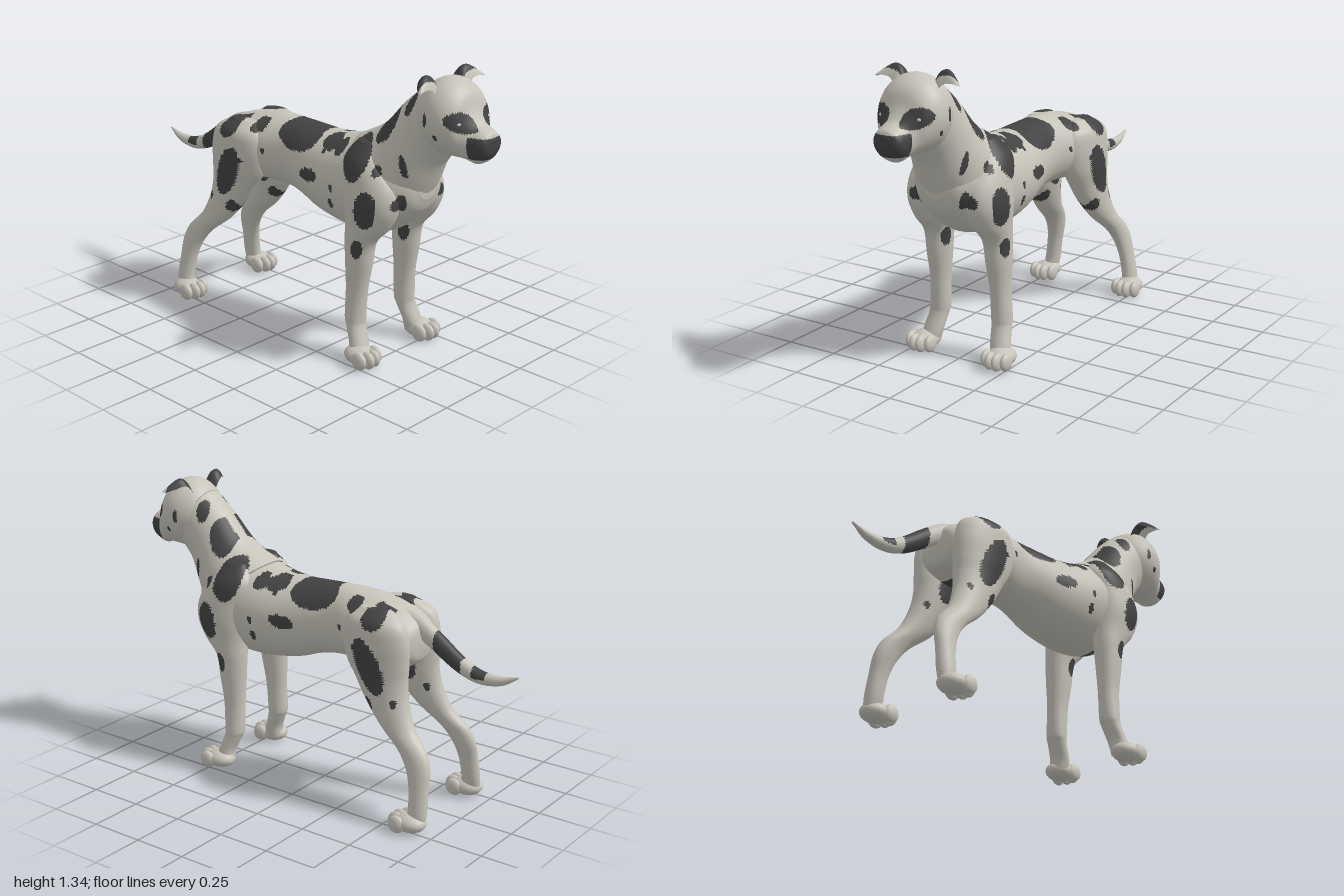
import * as THREE from 'three';
import { ParametricGeometry } from 'three/addons/geometries/ParametricGeometry.js';

const coat = new THREE.MeshStandardMaterial({ color: 0xc6c3b9, side: THREE.DoubleSide });
coat.name = 'paleCoat';
const spot = new THREE.MeshStandardMaterial({ color: 0x424242, side: THREE.DoubleSide });
spot.name = 'darkSpot';

// Coat spots, mirrored on both flanks: x, y, radius x, radius y, tilt in degrees, least |z|
const SPOTS = [
  [-0.375, 0.69, 0.062, 0.132, -25, 0], [-0.38, 0.9, 0.056, 0.046, 20, 0.05],
  [-0.24, 0.925, 0.036, 0.032, 0, 0.06], [-0.01, 0.925, 0.12, 0.065, 0, 0],
  [0.27, 0.935, 0.032, 0.032, 0, 0.06], [0.195, 0.935, 0.055, 0.028, 0, 0.01],
  [0.415, 0.93, 0.07, 0.095, 0, 0.06], [0.52, 1.09, 0.048, 0.088, -25, 0.03],
  [0.635, 1.195, 0.026, 0.048, -15, 0.03], [0.12, 0.785, 0.062, 0.03, 8, 0],
  [0.27, 0.695, 0.015, 0.027, 0, 0], [0.505, 0.73, 0.053, 0.086, -10, 0],
  [0.445, 0.535, 0.025, 0.046, -10, 0], [0.62, 0.77, 0.015, 0.04, -8, 0],
  [0.635, 0.935, 0.014, 0.05, 10, 0.05], [0.53, 0.9, 0.018, 0.025, 0, 0],
  [-0.37, 0.515, 0.024, 0.034, -25, 0], [-0.5, 0.54, 0.014, 0.02, 0, 0],
  [-0.19, 0.82, 0.01, 0.014, 0, 0], [-0.29, 0.76, 0.01, 0.012, 0, 0],
  [0.18, 0.9, 0.013, 0.013, 0, 0], [0.28, 0.77, 0.012, 0.014, 0, 0],
  [0.755, 1.165, 0.011, 0.03, 0, 0.05], [0.805, 1.1, 0.01, 0.012, 0, 0.05],
];

function inEllipse(dx, dy, rx, ry, tilt) {
  const t = THREE.MathUtils.degToRad(tilt), c = Math.cos(t), s = Math.sin(t);
  return ((dx * c + dy * s) / rx) ** 2 + ((dy * c - dx * s) / ry) ** 2 < 1;
}
const bodySpots = (x, y, z) => SPOTS.some(([sx, sy, rx, ry, tilt, zMin]) =>
  Math.abs(z) >= zMin && inEllipse(x - sx, y - sy, rx, ry, tilt));
const headSpots = (x, y, z) => {
  const muzzle = x > 0.92 && y > 1.018 && y < 1.112;
  const eyePatch = x > 0.8 && inEllipse(Math.abs(z) - 0.085, y - 1.168, 0.056, 0.042, 12);
  return muzzle || eyePatch || bodySpots(x, y, z);
};
const tailSpots = (x, y) => (x > -0.735 && x < -0.6 && y < 0.86) || (x > -0.85 && x < -0.785 && y > 0.68);

// Sorts faces into pale and dark groups by the place of their centres
function paint(geo, isDark) {
  const p = geo.attributes.position, idx = geo.index.array, sets = [[], []];
  for (let i = 0; i < idx.length; i += 3) {
    const f = [idx[i], idx[i + 1], idx[i + 2]];
    const mid = (get) => (get(f[0]) + get(f[1]) + get(f[2])) / 3;
    const dark = isDark(mid((k) => p.getX(k)), mid((k) => p.getY(k)), mid((k) => p.getZ(k)));
    sets[dark ? 1 : 0].push(...f);
  }
  geo.setIndex([...sets[0], ...sets[1]]);
  geo.clearGroups();
  geo.addGroup(0, sets[0].length, 0);
  geo.addGroup(sets[0].length, sets[1].length, 1);
  return geo;
}

// Smooth skin over oval rings: centre x, y, z, half depth, half width, tilt of the depth axis
function loft(name, rings, steps, sides, isDark) {
  const centre = new THREE.CatmullRomCurve3(rings.map((r) => new THREE.Vector3(r[0], r[1], r[2])), false, 'catmullrom');
  const size = new THREE.CatmullRomCurve3(rings.map((r) => new THREE.Vector3(r[3], r[4], r[5])), false, 'catmullrom');
  const pos = [], idx = [];
  for (let i = 0; i <= steps; i++) {
    const c = centre.getPoint(i / steps), s = size.getPoint(i / steps);
    const t = THREE.MathUtils.degToRad(s.z);
    for (let j = 0; j < sides; j++) {
      const a = (j / sides) * Math.PI * 2, d = Math.cos(a) * s.x;
      pos.push(c.x + Math.cos(t) * d, c.y + Math.sin(t) * d, c.z + Math.sin(a) * s.y);
      if (i === steps) continue;
      const k = i * sides + j, n = i * sides + ((j + 1) % sides);
      idx.push(k, n, n + sides, k, n + sides, k + sides);
    }
  }
  // End caps
  const first = pos.length / 3, base = steps * sides;
  pos.push(...rings[0].slice(0, 3), ...rings[rings.length - 1].slice(0, 3));
  for (let j = 0; j < sides; j++) {
    const n = (j + 1) % sides;
    idx.push(first, n, j, first + 1, base + j, base + n);
  }
  const geo = new THREE.BufferGeometry();
  geo.setAttribute('position', new THREE.Float32BufferAttribute(pos, 3));
  geo.setIndex(idx);
  geo.computeVertexNormals();
  const mesh = new THREE.Mesh(paint(geo, isDark), [coat, spot]);
  mesh.name = name;
  return mesh;
}

// Rings from outlines: along the body (x, bottom, top, half width) or down a leg (y, back, front, inner, outer)
const along = (rows) => rows.map(([x, y0, y1, w]) => [x, (y0 + y1) / 2, 0, (y1 - y0) / 2, w, 90]);
const down = (rows, side) => rows.map(([y, x0, x1, z0, z1]) =>
  [(x0 + x1) / 2, y, side * (z0 + z1) / 2, (x1 - x0) / 2, (z1 - z0) / 2, 0]);

const TORSO = [
  [-0.54, 0.75, 0.82, 0.03], [-0.52, 0.69, 0.87, 0.11], [-0.45, 0.65, 0.915, 0.16],
  [-0.38, 0.64, 0.94, 0.175], [-0.3, 0.64, 0.955, 0.175], [-0.2, 0.645, 0.965, 0.155],
  [-0.1, 0.64, 0.965, 0.135], [0, 0.62, 0.96, 0.15], [0.1, 0.585, 0.955, 0.17],
  [0.2, 0.565, 0.962, 0.188], [0.3, 0.555, 0.985, 0.2], [0.4, 0.56, 1.01, 0.205],
  [0.5, 0.59, 1.0, 0.2], [0.58, 0.65, 0.98, 0.165], [0.64, 0.71, 0.92, 0.11], [0.665, 0.77, 0.86, 0.05],
];
const NECK = [
  [0.465, 0.855, 0, 0.21, 0.195, 141], [0.565, 0.95, 0, 0.168, 0.158, 134],
  [0.645, 1.06, 0, 0.155, 0.132, 123], [0.725, 1.14, 0, 0.15, 0.128, 115],
];
const HEAD = [
  [0.645, 1.14, 1.21, 0.04], [0.66, 1.08, 1.26, 0.09], [0.7, 1.03, 1.3, 0.128], [0.76, 1.0, 1.325, 0.151],
  [0.82, 1.0, 1.315, 0.15], [0.87, 1.0, 1.275, 0.126], [0.9, 0.995, 1.205, 0.096], [0.93, 0.988, 1.162, 0.077],
  [0.965, 1.005, 1.142, 0.07], [0.988, 1.03, 1.128, 0.055], [0.998, 1.06, 1.105, 0.025],
];
const TAIL = [
  [-0.4, 0.89, 0, 0.04, 0.04, -90], [-0.5, 0.856, 0, 0.044, 0.036, -70], [-0.6, 0.795, 0, 0.042, 0.036, -58],
  [-0.72, 0.718, 0, 0.036, 0.032, -60], [-0.82, 0.683, 0, 0.03, 0.028, -80],
  [-0.92, 0.688, 0, 0.02, 0.02, -100], [-1, 0.72, 0, 0.004, 0.005, -110],
];
const FRONT_LEG = [
  [1.0, 0.37, 0.47, 0.08, 0.14], [0.92, 0.32, 0.53, 0.06, 0.205], [0.82, 0.33, 0.6, 0.05, 0.23],
  [0.73, 0.34, 0.61, 0.05, 0.238], [0.64, 0.345, 0.57, 0.07, 0.225], [0.56, 0.345, 0.5, 0.09, 0.215],
  [0.45, 0.35, 0.48, 0.1, 0.21], [0.33, 0.355, 0.46, 0.112, 0.203], [0.2, 0.357, 0.452, 0.115, 0.21],
  [0.16, 0.37, 0.455, 0.12, 0.212], [0.09, 0.4, 0.48, 0.13, 0.225], [0.03, 0.4, 0.5, 0.145, 0.235],
];
const HIND_LEG = [
  [0.93, -0.42, -0.28, 0.06, 0.14], [0.88, -0.5, -0.22, 0.05, 0.195], [0.8, -0.53, -0.2, 0.04, 0.207],
  [0.7, -0.532, -0.22, 0.04, 0.205], [0.62, -0.53, -0.27, 0.05, 0.2], [0.53, -0.545, -0.33, 0.07, 0.2],
  [0.43, -0.59, -0.42, 0.1, 0.205], [0.35, -0.665, -0.52, 0.13, 0.215], [0.28, -0.695, -0.575, 0.15, 0.225],
  [0.2, -0.7, -0.605, 0.17, 0.238], [0.1, -0.705, -0.615, 0.185, 0.255], [0.03, -0.7, -0.6, 0.2, 0.26],
];

function blob(name, x, y, z, rx, ry, rz, material) {
  const mesh = new THREE.Mesh(new THREE.SphereGeometry(1, 20, 14), material);
  mesh.position.set(x, y, z);
  mesh.scale.set(rx, ry, rz);
  mesh.name = name;
  return mesh;
}

// Paw with four rounded toes
function paw(name, x, z, side) {
  const group = new THREE.Group();
  group.name = name;
  group.add(blob('pawPad', x, 0.045, z * side, 0.073, 0.043, 0.062, coat));
  [-0.05, -0.017, 0.017, 0.05].forEach((dz, i) => {
    const reach = i === 1 || i === 2 ? 0.062 : 0.042;
    group.add(blob('toe', x + reach, 0.042, (z + dz) * side, 0.04, 0.04, 0.021, coat));
  });
  return group;
}

// Folded ear: rises from the skull, bends over to a tip, with a pale front fold
function ear(name, side) {
  const spine = new THREE.CatmullRomCurve3([
    [0.745, 1.29, 0.07], [0.74, 1.335, 0.1], [0.74, 1.344, 0.13], [0.755, 1.322, 0.17], [0.775, 1.292, 0.207],
  ].map((p) => new THREE.Vector3(...p)));
  const geo = new ParametricGeometry((u, v, out) => {
    const p = v * 2 - 1, taper = 1 - 0.85 * u * u;
    spine.getPoint(u, out);
    out.x += p * 0.045 * taper;
    out.y -= p > 0 ? 0.1 * p * p * taper * (1 - u) ** 0.5 : 0.04 * p * p * taper;
    out.z *= side;
  }, 24, 24);
  const mesh = new THREE.Mesh(paint(geo, (x, y, z) => x < 0.762 || Math.abs(z) < 0.085), [coat, spot]);
  mesh.name = name;
  return mesh;
}

export function createModel() {
  const dog = new THREE.Group();
  dog.name = 'spottedDog';
  dog.add(
    loft('torso', along(TORSO), 150, 80, bodySpots),
    loft('neck', NECK, 70, 72, bodySpots),
    loft('head', along(HEAD), 90, 80, headSpots),
    loft('tail', TAIL, 70, 28, tailSpots),
    blob('nose', 0.982, 1.098, 0, 0.018, 0.022, 0.034, spot),
  );
  for (const side of [1, -1]) {
    const label = side > 0 ? 'left' : 'right';
    dog.add(
      loft(label + 'FrontLeg', down(FRONT_LEG, side), 110, 48, bodySpots),
      loft(label + 'HindLeg', down(HIND_LEG, side), 110, 48, bodySpots),
      paw(label + 'FrontPaw', 0.465, 0.2, side),
      paw(label + 'HindPaw', -0.635, 0.235, side),
      ear(label + 'Ear', side),
      blob(label + 'Eye', 0.884, 1.163, 0.092 * side, 0.011, 0.008, 0.011, coat),
    );
  }
  return dog;
}
